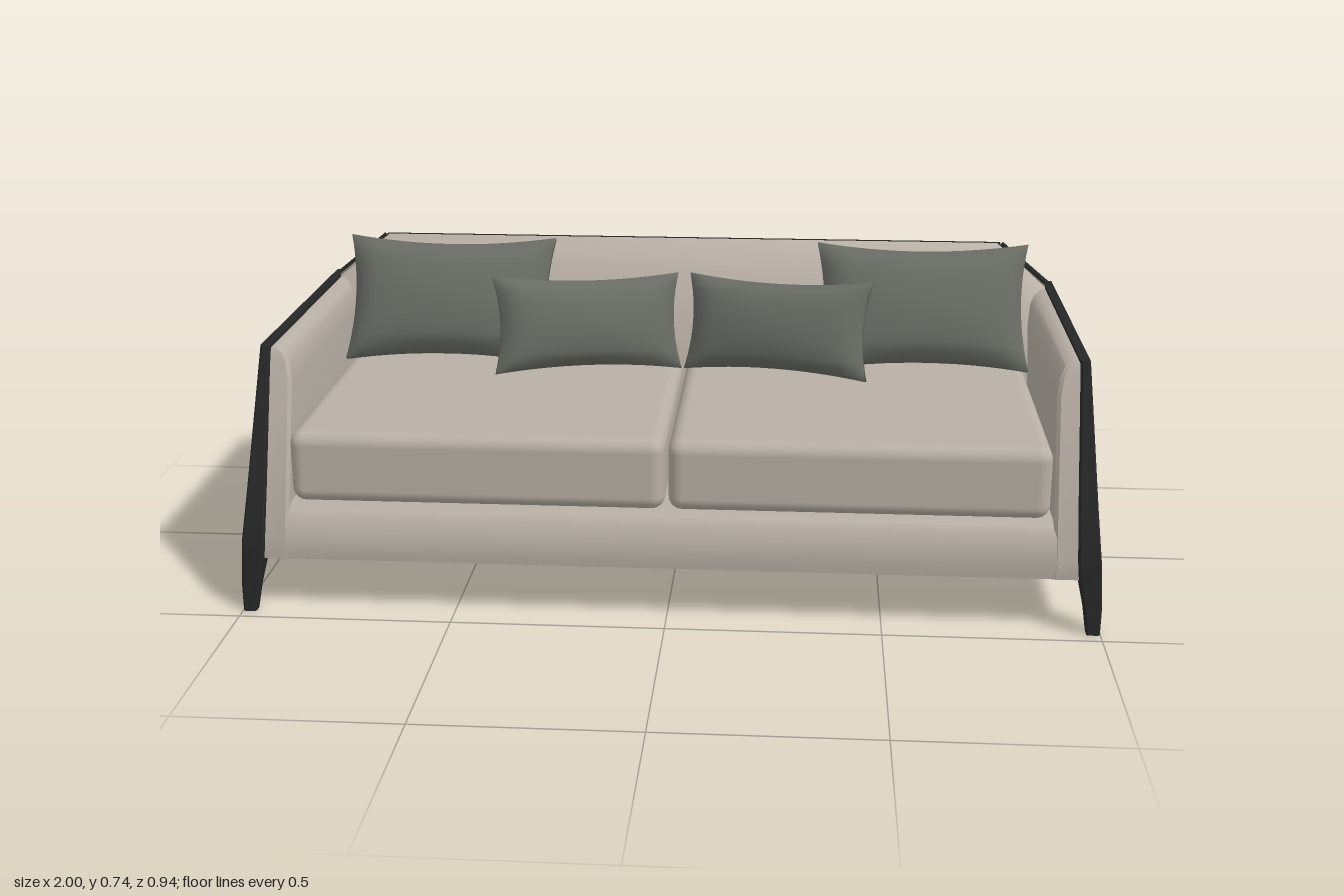
import * as THREE from 'three';
import { mergeVertices, toCreasedNormals } from 'three/addons/utils/BufferGeometryUtils.js';
import { RoundedBoxGeometry } from 'three/addons/geometries/RoundedBoxGeometry.js';

const fabric = new THREE.MeshStandardMaterial({ name: 'beige fabric', color: 0xb8afa5 });
const trim = new THREE.MeshStandardMaterial({ name: 'black trim', color: 0x262827 });
const pillowCloth = new THREE.MeshStandardMaterial({ name: 'grey green cloth', color: 0x686c64 });

// Closed solid through rings of equal point count, capped at both ends
function loft(rings, crease = 0.6) {
  const n = rings[0].length, index = [];
  for (let i = 0; i < rings.length - 1; i++) {
    for (let j = 0; j < n; j++) {
      const a = i * n + j, b = i * n + (j + 1) % n;
      index.push(a, b, b + n, a, b + n, a + n);
    }
  }
  const last = (rings.length - 1) * n;
  for (let j = 1; j < n - 1; j++) {
    index.push(0, j + 1, j, last, last + j, last + j + 1);
  }
  const g = new THREE.BufferGeometry();
  g.setAttribute('position', new THREE.Float32BufferAttribute(rings.flat(2), 3));
  g.setIndex(index);
  return toCreasedNormals(g, crease);
}

// Stack of rectangles [y, x0, x1, z0, z1] with chamfered corners; side -1 mirrors in x
function stack(levels, side = 1, c = 0.004) {
  return loft(levels.map(([y, p, q, z0, z1]) => {
    const x0 = side > 0 ? p : -q, x1 = side > 0 ? q : -p;
    return [
      [x1 - c, y, z1], [x1, y, z1 - c], [x1, y, z0 + c], [x1 - c, y, z0],
      [x0 + c, y, z0], [x0, y, z0 + c], [x0, y, z1 - c], [x0 + c, y, z1],
    ];
  }));
}

// Soft pillow: pinched corners, hollow edges, swollen middle
function pillow(w, h, t) {
  let g = new THREE.BoxGeometry(2, 2, 2, 16, 12, 2);
  g.deleteAttribute('uv');
  g.deleteAttribute('normal');
  g = mergeVertices(g);
  const p = g.attributes.position;
  for (let i = 0; i < p.count; i++) {
    const u = p.getX(i), v = p.getY(i), d = p.getZ(i);
    const swell = Math.pow(Math.max(0, (1 - u * u) * (1 - v * v)), 0.45);
    p.setXYZ(i,
      u * w / 2 * (1 - 0.07 * (1 - v * v)),
      v * h / 2 * (1 - 0.13 * (1 - u * u)),
      d * (0.012 + (t / 2 - 0.012) * swell));
  }
  g.computeVertexNormals();
  return g;
}

export function createModel() {
  const model = new THREE.Group();
  model.name = 'sofa';
  const add = (name, geometry, material) => {
    const m = new THREE.Mesh(geometry, material);
    m.name = name;
    model.add(m);
    return m;
  };
  // Square bar between two points
  const bar = (name, a, b, w, h) => {
    const A = new THREE.Vector3(...a), B = new THREE.Vector3(...b);
    const m = add(name, new THREE.BoxGeometry(w, h, A.distanceTo(B)), trim);
    m.position.copy(A).lerp(B, 0.5);
    m.lookAt(B);
  };

  // Base with rounded front rail
  add('base', stack([
    [0.128, -0.945, 0.945, -0.44, 0.448], [0.175, -0.945, 0.945, -0.44, 0.453],
    [0.225, -0.945, 0.945, -0.44, 0.436], [0.245, -0.94, 0.94, -0.44, 0.422],
    [0.255, -0.93, 0.93, -0.43, 0.4],
  ]), fabric);

  // Backrest: one z,y profile carried across, lower and drawn in at the ends
  const profile = [
    [-0.46, 0.128], [-0.463, 0.4], [-0.459, 0.61], [-0.447, 0.685], [-0.415, 0.712],
    [-0.38, 0.704], [-0.34, 0.66], [-0.305, 0.6], [-0.225, 0.43], [-0.22, 0.128],
  ];
  const station = (side, end) => profile.map(([z, y], i) => {
    const t = (y - 0.128) / 0.584;
    return end
      ? [side * (0.985 - 0.04 * t), 0.128 + t * 0.477, z + (i < 5 ? 0.06 * t : 0.02 * t)]
      : [side * (0.965 - 0.155 * t), y, z];
  });
  add('backrest', loft([station(-1, true), station(-1), station(1), station(1, true)], 0.7), fabric);
  bar('backPiping', [-0.82, 0.704, -0.438], [0.82, 0.704, -0.438], 0.009, 0.009);

  // Middle support leg
  add('middleLeg', stack([
    [0, -0.013, 0.013, -0.014, 0.014], [0.13, -0.019, 0.019, -0.025, 0.025],
  ]), trim);

  for (const side of [1, -1]) {
    const word = side > 0 ? 'left' : 'right';

    // Sloping arm with rounded top
    add(word + 'Arm', stack([
      [0.128, 0.885, 0.986, -0.44, 0.45], [0.175, 0.885, 0.982, -0.435, 0.453],
      [0.53, 0.885, 0.953, -0.395, 0.341], [0.575, 0.892, 0.95, -0.39, 0.326],
      [0.595, 0.903, 0.948, -0.385, 0.318], [0.604, 0.92, 0.945, -0.38, 0.312],
    ], side, 0.008), fabric);

    // Posts running down into splayed feet
    add(word + 'FrontLeg', stack([
      [0, 0.968, 0.999, 0.442, 0.47], [0.06, 0.96, 1, 0.425, 0.467],
      [0.13, 0.945, 0.996, 0.405, 0.463], [0.175, 0.94, 0.992, 0.412, 0.467],
      [0.3, 0.938, 0.981, 0.386, 0.428], [0.612, 0.935, 0.957, 0.308, 0.326],
    ], side), trim);
    add(word + 'BackLeg', stack([
      [0, 0.968, 0.999, -0.47, -0.437], [0.06, 0.96, 1, -0.467, -0.418],
      [0.13, 0.945, 0.996, -0.468, -0.402], [0.175, 0.94, 0.992, -0.467, -0.42],
      [0.3, 0.938, 0.981, -0.452, -0.415], [0.612, 0.935, 0.957, -0.415, -0.376],
    ], side), trim);

    // Trim along the arm and up to the backrest
    bar(word + 'ArmTrim', [side * 0.946, 0.604, -0.395], [side * 0.946, 0.604, 0.318], 0.022, 0.016);
    bar(word + 'BackTrim', [side * 0.946, 0.602, -0.397], [side * 0.82, 0.702, -0.436], 0.024, 0.016);

    // Seat cushion
    add(word + 'SeatCushion', new RoundedBoxGeometry(0.87, 0.172, 0.685, 4, 0.032), fabric)
      .position.set(side * 0.439, 0.352, 0.1025);

    // Large and small pillows leaning back
    const big = add(word + 'LargePillow', pillow(0.535, 0.325, 0.14), pillowCloth);
    big.position.set(side * 0.607, 0.59, -0.205);
    big.rotation.set(-0.4, side * 0.02, 0, 'YXZ');
    const small = add(word + 'SmallPillow', pillow(0.475, 0.245, 0.125), pillowCloth);
    small.position.set(side * 0.24, 0.56, -0.105);
    small.rotation.set(-0.28, side * -0.29, side * 0.03, 'YXZ');
  }
  return model;
}
